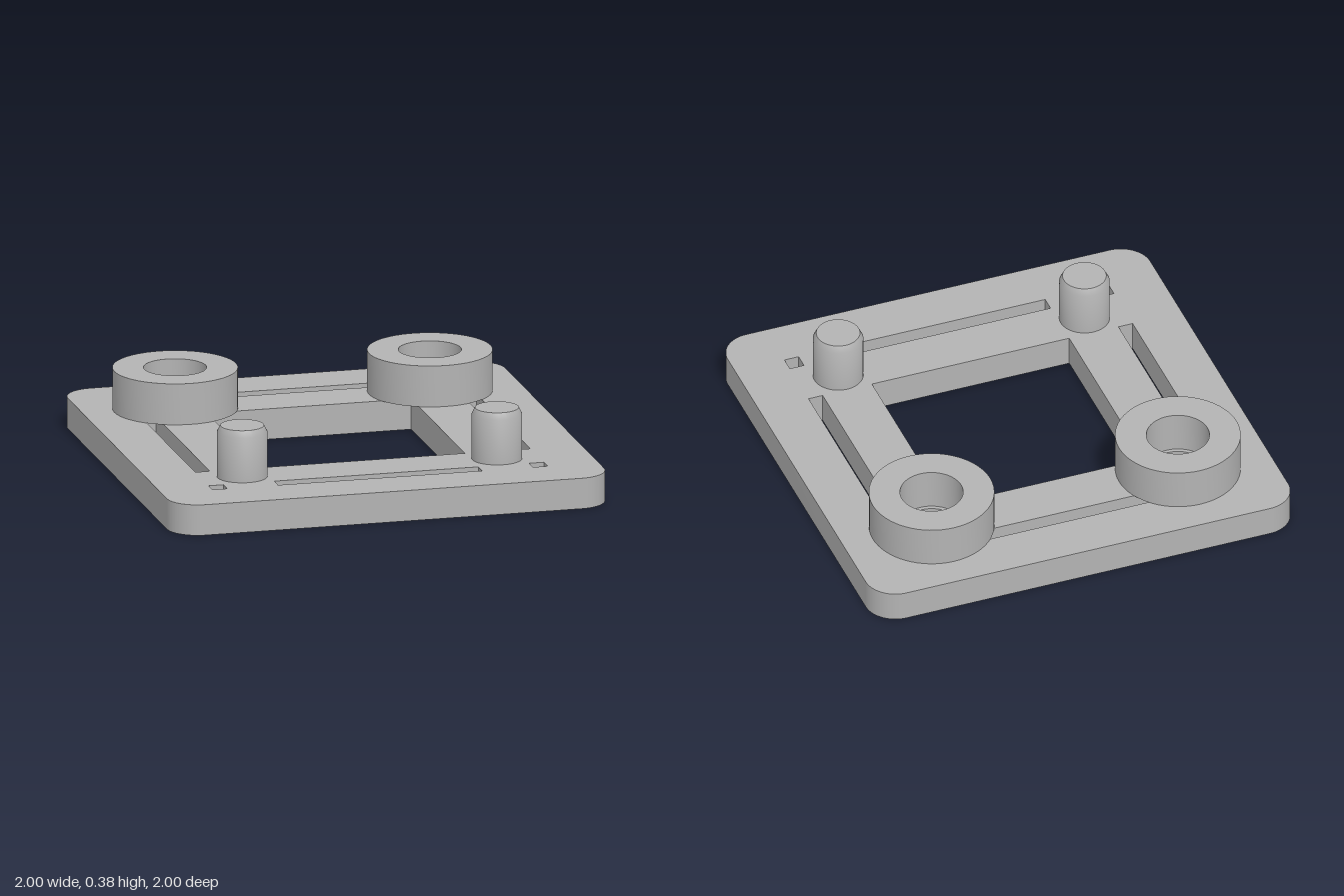
import * as THREE from 'three';
import { toCreasedNormals } from 'three/addons/utils/BufferGeometryUtils.js';

const PLATE = 0.14;    // plate thickness
const POST = 0.583;    // peg and socket offset from the centre
const WINDOW = 0.467;  // half width of the central opening
const SLOT_IN = 0.7, SLOT_OUT = 0.767;

function rectHole(x0, y0, x1, y1) {
  return new THREE.Path([[x0, y0], [x0, y1], [x1, y1], [x1, y0]].map(p => new THREE.Vector2(...p)));
}

function lathe(points) {
  const geometry = new THREE.LatheGeometry(points.map(p => new THREE.Vector2(...p)), 64);
  return toCreasedNormals(geometry, 0.5);
}

// Square plate with rounded corners, window, slots and bores
function plateGeometry() {
  const shape = new THREE.Shape(), r = 0.14, c = 1 - r;
  shape.absarc(c, c, r, 0, Math.PI / 2);
  shape.absarc(-c, c, r, Math.PI / 2, Math.PI);
  shape.absarc(-c, -c, r, Math.PI, Math.PI * 1.5);
  shape.absarc(c, -c, r, Math.PI * 1.5, Math.PI * 2);
  shape.closePath();

  shape.holes.push(rectHole(-WINDOW, -WINDOW, WINDOW, WINDOW));
  for (const s of [-1, 1]) {
    const a = Math.min(s * SLOT_IN, s * SLOT_OUT), b = Math.max(s * SLOT_IN, s * SLOT_OUT);
    shape.holes.push(rectHole(a, -WINDOW, b, WINDOW), rectHole(-WINDOW, a, WINDOW, b));
    // small square corner holes
    shape.holes.push(rectHole(a, SLOT_IN, b, SLOT_OUT), rectHole(a, -SLOT_OUT, b, -SLOT_IN));
    // bores below the back sockets
    const bore = new THREE.Path();
    bore.absarc(s * POST, POST, 0.122, 0, Math.PI * 2, true);
    shape.holes.push(bore);
  }
  const geometry = new THREE.ExtrudeGeometry(shape, { depth: PLATE, bevelEnabled: false, curveSegments: 24 });
  geometry.rotateX(-Math.PI / 2);
  return toCreasedNormals(geometry, 0.5);
}

export function createModel() {
  const model = new THREE.Group();
  model.name = 'stackingFrame';
  const grey = new THREE.MeshStandardMaterial({ color: 0xb3b3b3 });
  grey.name = 'grey';

  const add = (name, geometry, x = 0, z = 0) => {
    const mesh = new THREE.Mesh(geometry, grey);
    mesh.name = name;
    mesh.position.set(x, 0, z);
    model.add(mesh);
  };

  add('plate', plateGeometry());

  // Pegs with chamfered tops at the front, ring sockets at the back
  const peg = lathe([[0.112, PLATE], [0.112, 0.345], [0.097, 0.375], [0, 0.375]]);
  const socket = lathe([[0.278, PLATE], [0.278, 0.328], [0.14, 0.328], [0.14, PLATE]]);
  for (const [side, s] of [['left', 1], ['right', -1]]) {
    add(side + 'Peg', peg, s * POST, POST);
    add(side + 'Socket', socket, s * POST, -POST);
  }
  return model;
}
